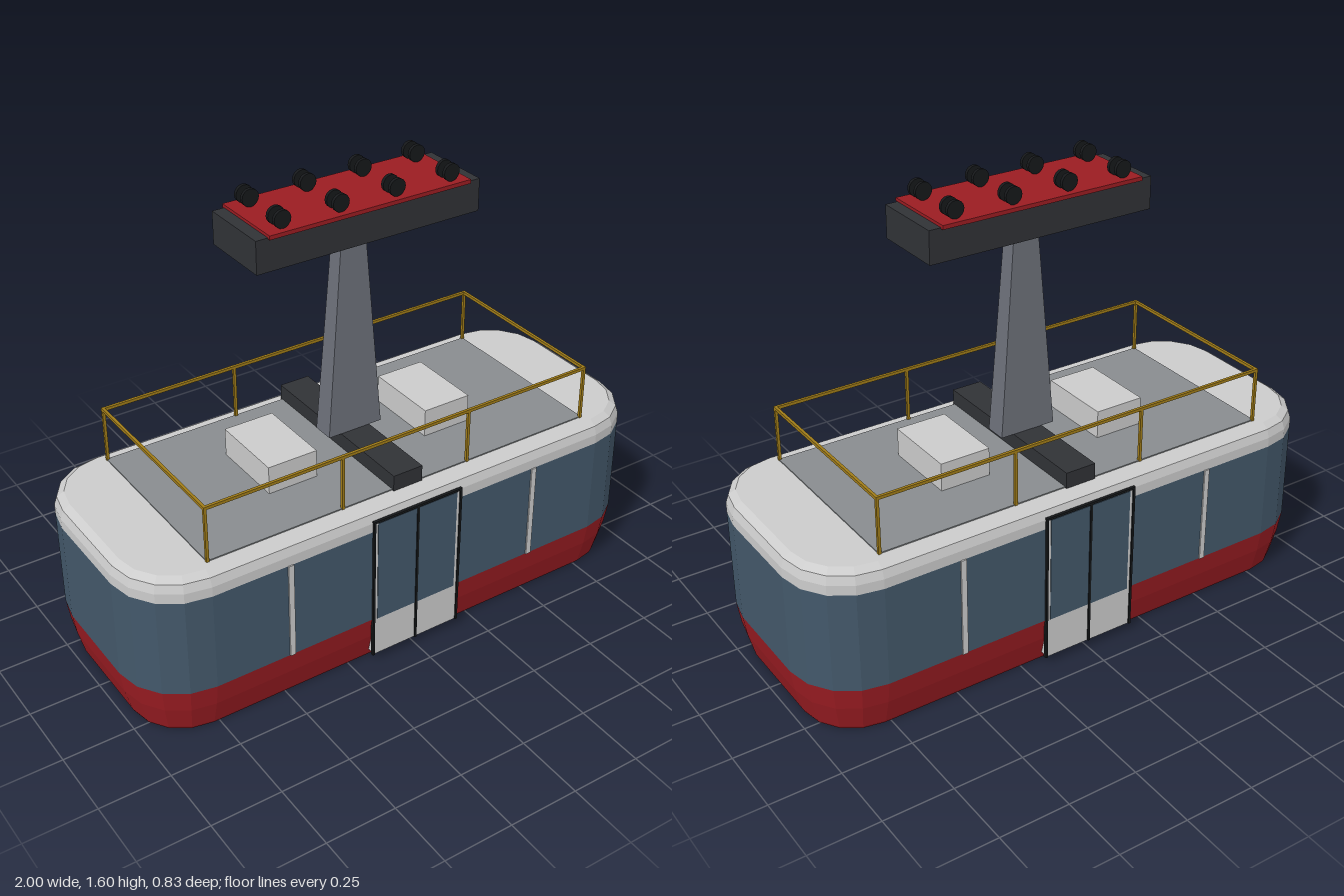
import * as THREE from 'three';

const mat = (color, flatShading = true) => new THREE.MeshStandardMaterial({ color, flatShading });

// Rounded-rectangle outline, pulled inwards by inset
function outline(inset) {
  const r = 0.23, pts = [];
  for (let q = 0; q < 4; q++) {
    const sx = q === 0 || q === 3 ? 1 : -1, sz = q < 2 ? 1 : -1;
    for (let k = 0; k <= 4; k++) {
      const a = (q + k / 4) * Math.PI / 2;
      pts.push([sx * (1 - r) + (r - inset) * Math.cos(a), sz * (0.405 - r) + (r - inset) * Math.sin(a)]);
    }
  }
  return pts;
}

// Band of wall lofted through [y, inset] levels
function bandGeometry(levels) {
  const v = [];
  for (let l = 0; l < levels.length - 1; l++) {
    const [y0, i0] = levels[l], [y1, i1] = levels[l + 1];
    const lo = outline(i0), hi = outline(i1), n = lo.length;
    for (let i = 0; i < n; i++) {
      const j = (i + 1) % n;
      const a = [lo[i][0], y0, lo[i][1]], b = [lo[j][0], y0, lo[j][1]];
      const c = [hi[j][0], y1, hi[j][1]], d = [hi[i][0], y1, hi[i][1]];
      v.push(...b, ...a, ...d, ...b, ...d, ...c);
    }
  }
  return fromVertices(v);
}

// Flat lid facing up or down
function lidGeometry(y, inset, up) {
  const v = [], p = outline(inset);
  p.forEach((s, i) => {
    const t = p[(i + 1) % p.length];
    const [e, f] = up ? [t, s] : [s, t];
    v.push(0, y, 0, e[0], y, e[1], f[0], y, f[1]);
  });
  return fromVertices(v);
}

function fromVertices(v) {
  const g = new THREE.BufferGeometry();
  g.setAttribute('position', new THREE.Float32BufferAttribute(v, 3));
  g.computeVertexNormals();
  return g;
}

export function createModel() {
  const model = new THREE.Group();
  model.name = 'cableCar';
  const grey = mat(0xcccccc), red = mat(0x9a1c22), glass = mat(0x43586a), black = mat(0x16181a);
  const dark = mat(0x303236), steel = mat(0x6c7079), yellow = mat(0xa07c18), deck = mat(0x888c8f);

  const add = (parent, name, geometry, material) => {
    const m = new THREE.Mesh(geometry, material);
    m.name = name;
    parent.add(m);
    return m;
  };
  // Box given by its extents along each axis
  const box = (parent, name, material, x0, x1, y0, y1, z0, z1) => {
    const m = add(parent, name, new THREE.BoxGeometry(x1 - x0, y1 - y0, z1 - z0), material);
    m.position.set((x0 + x1) / 2, (y0 + y1) / 2, (z0 + z1) / 2);
    return m;
  };
  const group = (name) => {
    const g = new THREE.Group();
    g.name = name;
    model.add(g);
    return g;
  };

  // Cabin shell
  const cabin = group('cabin');
  add(cabin, 'floor', lidGeometry(0, 0.04, false), black);
  add(cabin, 'lowerSkirt', bandGeometry([[0, 0.04], [0.01, 0.035], [0.1, 0.012], [0.18, 0]]), red);
  add(cabin, 'windowBand', bandGeometry([[0.18, 0], [0.54, 0]]), glass);
  add(cabin, 'roofEdge', bandGeometry([[0.54, 0], [0.575, 0], [0.605, 0.01], [0.622, 0.035]]), grey);
  add(cabin, 'roof', lidGeometry(0.622, 0.035, true), grey);

  // Window pillars and sliding doors, same on both long sides
  for (const side of [1, -1]) {
    const wall = group(side > 0 ? 'frontSide' : 'backSide');
    wall.rotation.y = side > 0 ? 0 : Math.PI;
    for (const s of [1, -1]) {
      box(wall, 'windowPillar', grey, s * 0.49 - 0.01, s * 0.49 + 0.01, 0.18, 0.54, 0.39, 0.41);
      const x = s * 0.087;
      box(wall, 'doorLeaf', grey, x - 0.083, x + 0.083, 0.03, 0.575, 0.365, 0.408);
      box(wall, 'doorGlass', glass, x - 0.077 + s * -0.005, x + 0.077 + s * -0.005, 0.18, 0.57, 0.4, 0.41);
      box(wall, 'doorFrameSide', black, s * 0.174 - 0.004, s * 0.174 + 0.004, 0.03, 0.58, 0.4, 0.413);
    }
    box(wall, 'doorSeam', black, -0.004, 0.004, 0.03, 0.58, 0.4, 0.413);
    box(wall, 'doorFrameTop', black, -0.178, 0.178, 0.574, 0.582, 0.39, 0.413);
  }

  // Roof deck and equipment
  const roofGear = group('roofEquipment');
  box(roofGear, 'deck', deck, -0.75, 0.75, 0.615, 0.626, -0.34, 0.34);
  box(roofGear, 'crossBeam', dark, -0.057, 0.057, 0.62, 0.68, -0.348, 0.348);
  for (const s of [1, -1]) box(roofGear, 'roofBox', grey, s * 0.312 - 0.092, s * 0.312 + 0.092, 0.62, 0.727, -0.14, 0.14);

  // Safety railing
  const railing = group('railing'), t = 0.005;
  for (const s of [1, -1]) {
    const z = s * 0.338, x = s * 0.747;
    for (const px of [-0.747, -0.249, 0.249, 0.747])
      box(railing, 'railPost', yellow, px - t, px + t, 0.62, 0.825, z - t, z + t);
    box(railing, 'longRail', yellow, -0.752, 0.752, 0.815, 0.826, z - t, z + t);
    box(railing, 'endRail', yellow, x - t, x + t, 0.815, 0.826, -0.343, 0.343);
  }

  // Tapered hanger arm
  const hanger = group('hanger');
  const armGeometry = new THREE.BoxGeometry(1, 0.74, 1);
  const p = armGeometry.attributes.position;
  for (let i = 0; i < p.count; i++) {
    const top = p.getY(i) > 0;
    p.setX(i, p.getX(i) * (top ? 0.09 : 0.21));
    p.setZ(i, p.getZ(i) * (top ? 0.056 : 0.08));
  }
  armGeometry.computeVertexNormals();
  add(hanger, 'arm', armGeometry, steel).position.y = 1.05;

  // Carriage with paired cable rollers
  box(hanger, 'carriage', dark, -0.418, 0.418, 1.417, 1.53, -0.13, 0.13);
  box(hanger, 'carriagePlate', red, -0.375, 0.375, 1.526, 1.54, -0.14, 0.14);
  const roller = new THREE.CylinderGeometry(0.03, 0.03, 0.012, 16).rotateX(Math.PI / 2);
  const rollerMat = mat(0x16181a);
  for (const x of [-0.315, -0.105, 0.105, 0.315])
    for (const z of [-0.112, -0.075, 0.075, 0.112])
      add(hanger, 'roller', roller, rollerMat).position.set(x, 1.57, z);

  return model;
}
